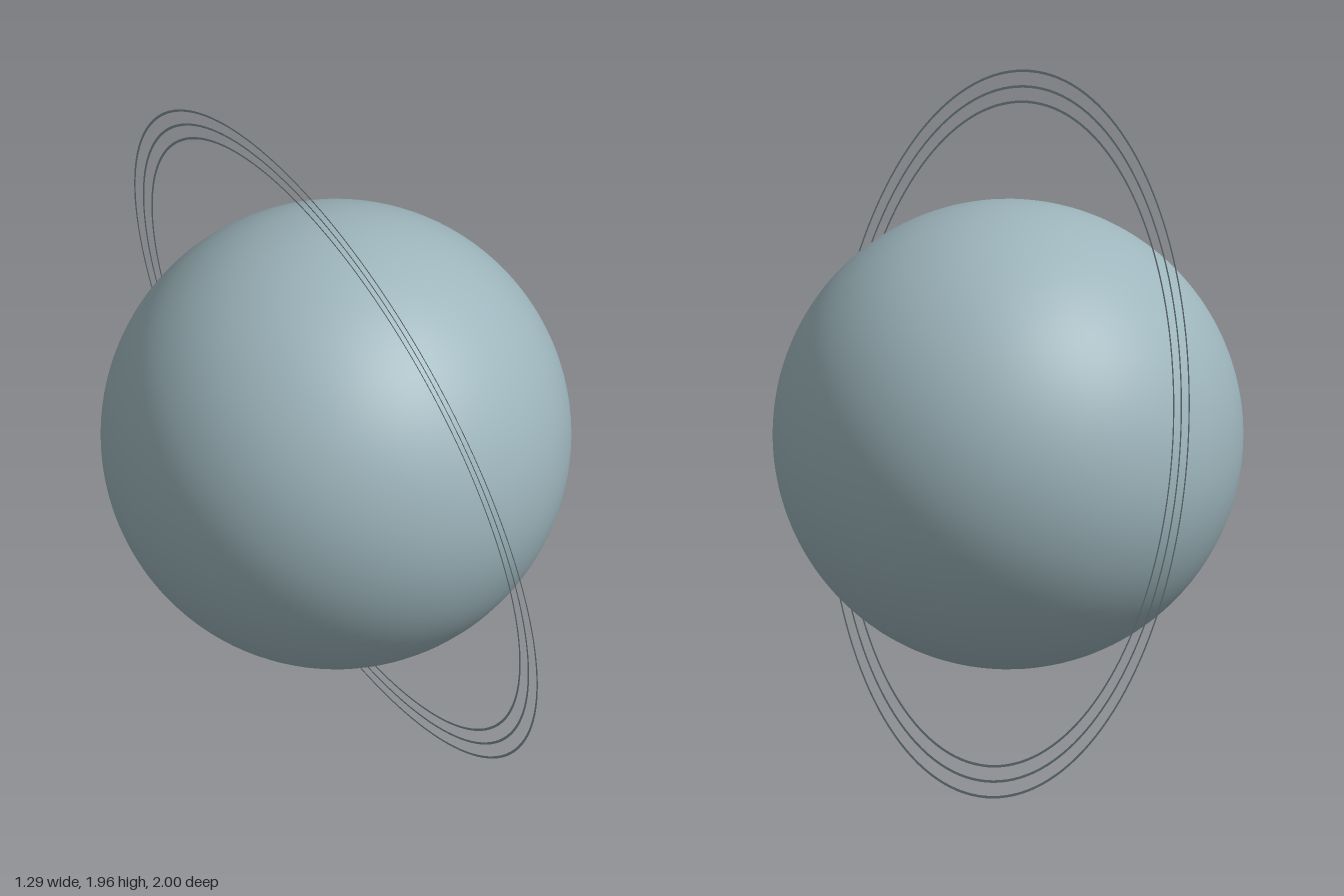
import * as THREE from 'three';

export function createModel() {
  const model = new THREE.Group();
  model.name = 'ringedPlanet';

  const planetBlue = new THREE.MeshStandardMaterial({ color: 0x9db5bc });
  planetBlue.name = 'pale blue grey';
  const ringGrey = new THREE.MeshStandardMaterial({ color: 0x84959a, side: THREE.DoubleSide });
  ringGrey.name = 'ring grey';

  const tilt = 0.2; // lean of the ring plane, radians
  const centreY = Math.cos(tilt);

  // Smooth globe
  const planet = new THREE.Mesh(new THREE.SphereGeometry(0.645, 96, 64), planetBlue);
  planet.name = 'planet';
  planet.position.y = centreY;
  planet.rotation.z = Math.PI / 2 + tilt;
  model.add(planet);

  // Three thin flat rings, nearly upright, top leaning towards -x
  const rings = new THREE.Group();
  rings.name = 'rings';
  rings.position.y = centreY;
  rings.rotation.z = tilt;
  const ringWidth = 0.007;
  [['outerRing', 1], ['middleRing', 0.957], ['innerRing', 0.915]].forEach(([name, radius]) => {
    const geometry = new THREE.RingGeometry(radius - ringWidth, radius, 160, 1).rotateY(Math.PI / 2);
    const ring = new THREE.Mesh(geometry, ringGrey);
    ring.name = name;
    rings.add(ring);
  });
  model.add(rings);

  return model;
}
